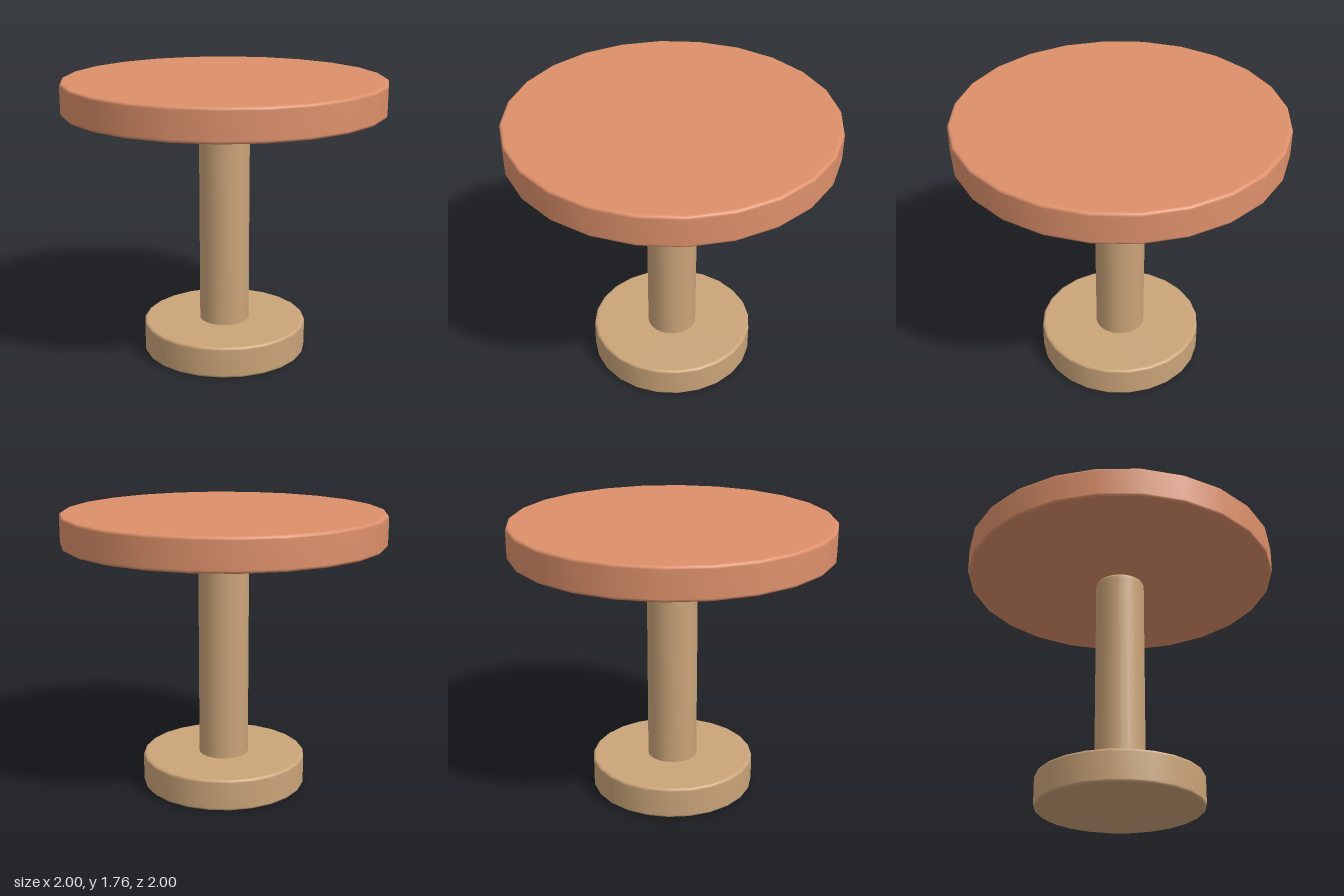
import * as THREE from 'three';

const SIDES = 24;

// Solid disc or post turned around y, with small rounded rims
function roundedDisc(name, radius, bottom, top, bevel, color) {
  const points = [new THREE.Vector2(0, bottom), new THREE.Vector2(radius - bevel * 1.2, bottom)];
  const steps = 4;
  for (const [cy, start] of [[bottom + bevel, -Math.PI / 2], [top - bevel, 0]]) {
    for (let i = 0; i <= steps; i++) {
      const a = start + (i / steps) * Math.PI / 2;
      points.push(new THREE.Vector2(radius - bevel + Math.cos(a) * bevel, cy + Math.sin(a) * bevel));
    }
  }
  points.push(new THREE.Vector2(radius - bevel * 1.2, top), new THREE.Vector2(0, top));
  const mesh = new THREE.Mesh(
    new THREE.LatheGeometry(points, SIDES),
    new THREE.MeshStandardMaterial({ color })
  );
  mesh.name = name;
  return mesh;
}

export function createModel() {
  const table = new THREE.Group();
  table.name = 'pedestalTable';

  const wood = 0xcaa478;
  const terracotta = 0xdd906a;

  // Foot, post and round top
  table.add(roundedDisc('base', 0.52, 0, 0.2, 0.018, wood));
  table.add(roundedDisc('post', 0.158, 0.02, 1.55, 0.03, wood));
  table.add(roundedDisc('tabletop', 1, 1.563, 1.76, 0.018, terracotta));

  return table;
}
